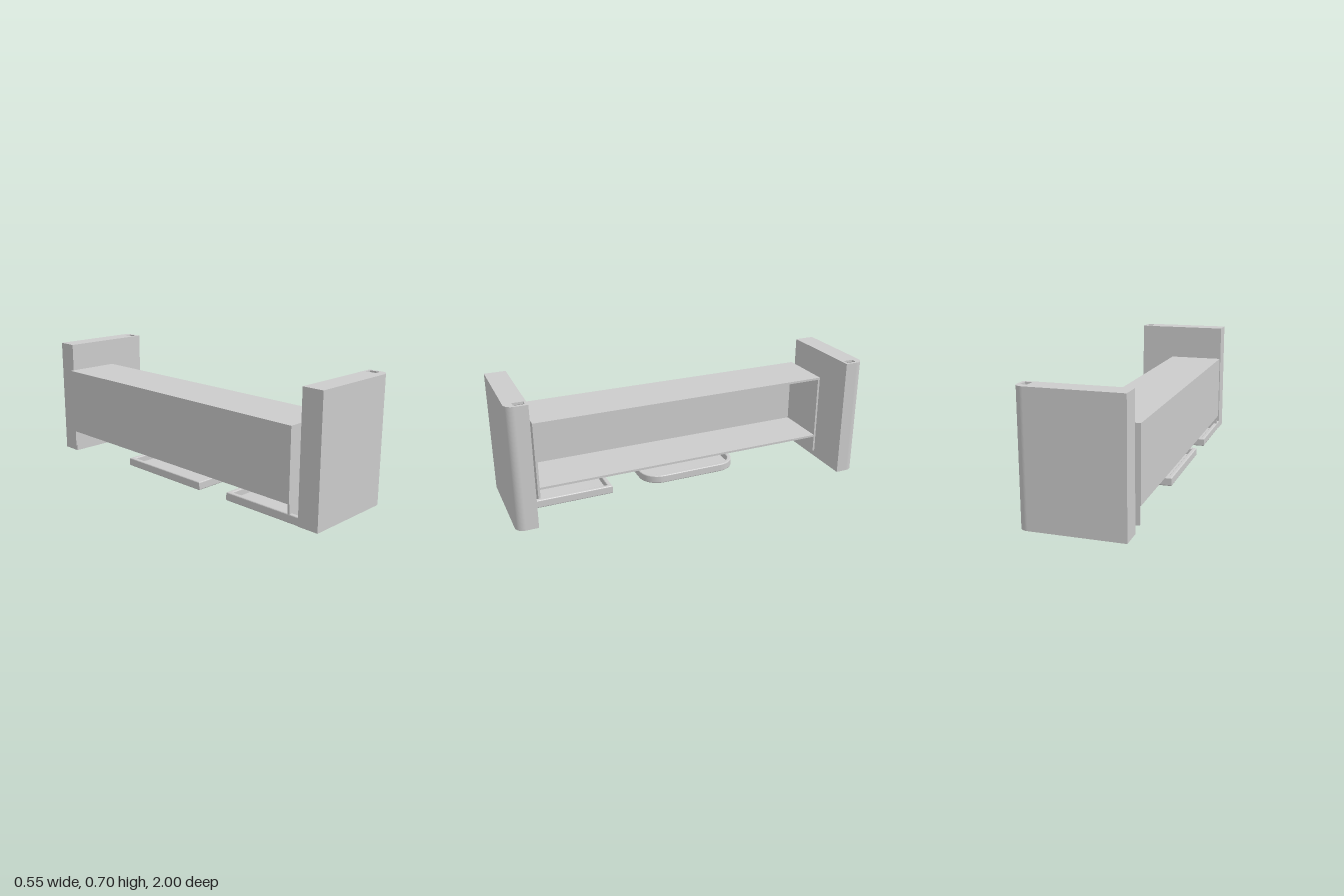
import * as THREE from 'three';

const material = new THREE.MeshStandardMaterial({ color: 0xcccccc, side: THREE.DoubleSide });

// Plan outline in (x, z); rPos / rNeg round the +x corners at high / low z
function outline(x0, x1, z0, z1, rNeg = 0, rPos = 0, Type = THREE.Shape) {
  const s = new Type();
  s.moveTo(x0, z0);
  s.lineTo(x1 - rNeg, z0);
  if (rNeg) s.absarc(x1 - rNeg, z0 + rNeg, rNeg, -Math.PI / 2, 0, false);
  s.lineTo(x1, z1 - rPos);
  if (rPos) s.absarc(x1 - rPos, z1 - rPos, rPos, 0, Math.PI / 2, false);
  s.lineTo(x0, z1);
  s.closePath();
  return s;
}

// Extrude a plan outline between two heights
function slab(name, shape, y0, y1, bevel = 0) {
  const geo = new THREE.ExtrudeGeometry(shape, {
    depth: y1 - y0 - 2 * bevel, curveSegments: 16,
    bevelEnabled: bevel > 0, bevelSize: bevel, bevelThickness: bevel, bevelOffset: -bevel, bevelSegments: 4,
  });
  geo.rotateX(Math.PI / 2).translate(0, y1 - bevel, 0);
  const mesh = new THREE.Mesh(geo, material);
  mesh.name = name;
  return mesh;
}

function box(name, x0, x1, y0, y1, z0, z1) {
  const mesh = new THREE.Mesh(new THREE.BoxGeometry(x1 - x0, y1 - y0, z1 - z0), material);
  mesh.position.set((x0 + x1) / 2, (y0 + y1) / 2, (z0 + z1) / 2);
  mesh.name = name;
  return mesh;
}

// Hollow upright with one rounded outer corner and a slot in its top
function upright(name, x0, x1, y0, y1, z0, z1, rNeg, rPos, slot, closedBottom) {
  const g = new THREE.Group();
  g.name = name;
  const t = 0.012;
  const inset = r => Math.max(r - t, 0);
  const wall = outline(x0, x1, z0, z1, rNeg, rPos);
  wall.holes.push(outline(x0 + t, x1 - t, z0 + t, z1 - t, inset(rNeg), inset(rPos), THREE.Path));
  const cap = outline(x0, x1, z0, z1, rNeg, rPos);
  cap.holes.push(outline(...slot, 0, 0, THREE.Path));
  g.add(slab(name + 'Shell', wall, y0 + (closedBottom ? t : 0), y1 - t), slab(name + 'Cap', cap, y1 - t, y1));
  if (closedBottom) g.add(slab(name + 'Base', outline(x0, x1, z0, z1, rNeg, rPos), y0, y0 + t));
  return g;
}

// Shallow tray with a softened rim and thin floor
function tray(name, x0, x1, z0, z1, r) {
  const g = new THREE.Group();
  g.name = name;
  const w = 0.024, ri = Math.max(r - w, 0);
  const rim = outline(x0, x1, z0, z1, r, r);
  rim.holes.push(outline(x0 + w, x1 - w, z0 + w, z1 - w, ri, ri, THREE.Path));
  g.add(slab(name + 'Rim', rim, 0.04, 0.085, 0.006));
  const e = 0.004;
  g.add(slab(name + 'Floor', outline(x0 + e, x1 - e, z0 + e, z1 - e, r && r - e, r && r - e), 0.04, 0.05));
  return g;
}

export function createModel() {
  const model = new THREE.Group();
  model.name = 'shelfUnit';

  // End uprights
  model.add(
    upright('frontUpright', -0.27, 0.255, 0.04, 0.705, 0.887, 1, 0, 0.048, [0.203, 0.238, 0.9, 0.955], true),
    upright('backUpright', -0.25, 0.275, 0, 0.67, -1, -0.887, 0.048, 0, [0.223, 0.258, -0.958, -0.903], false),
  );

  // Long cabinet, open on the +x side
  const cabinet = new THREE.Group();
  cabinet.name = 'cabinet';
  const t = 0.012, z0 = -0.88, z1 = 0.835;
  cabinet.add(
    box('cabinetTop', -0.275, 0.04, 0.515 - t, 0.515, z0, z1),
    box('cabinetShelf', -0.27, 0.04, 0.135, 0.135 + t, z0 + t, z1 - t),
    box('cabinetBack', -0.275, -0.263, 0.135, 0.515 - t, z0, z1),
  );
  // End boards run down below the shelf as legs
  for (const [name, z] of [['backEndBoard', z0], ['frontEndBoard', z1 - t]])
    cabinet.add(box(name, -0.269, 0.04, 0.04, 0.515 - t, z, z + t));
  model.add(cabinet);

  // Low trays
  model.add(tray('frontTray', -0.27, 0.06, 0.43, 0.895, 0));
  model.add(tray('middleTray', -0.27, 0.06, -0.335, 0.235, 0.11));
  return model;
}
